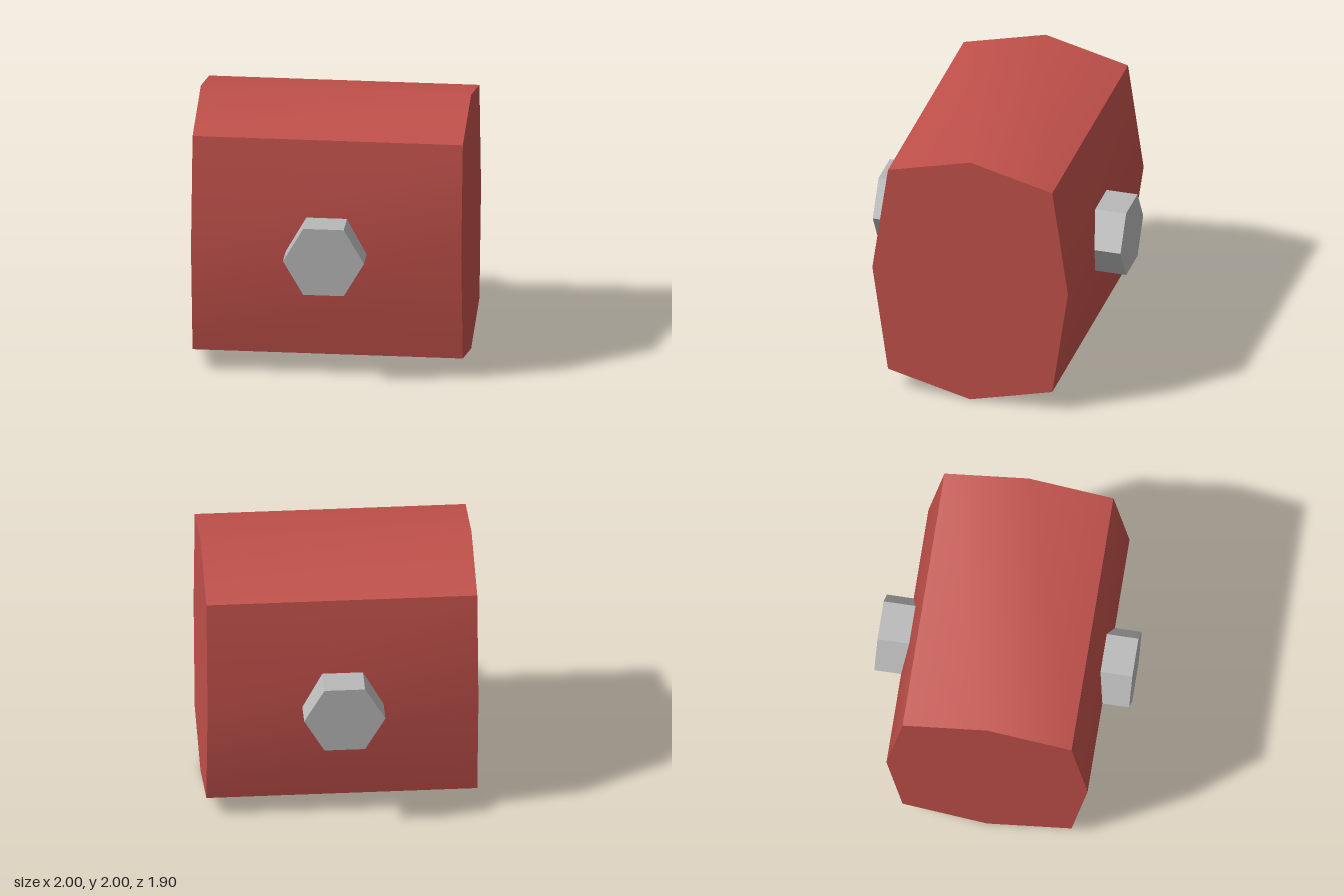
import * as THREE from 'three';
import { toCreasedNormals } from 'three/addons/utils/BufferGeometryUtils.js';

export function createModel() {
  const group = new THREE.Group();

  const red = new THREE.MeshStandardMaterial({ color: 0xc0504a });
  red.name = 'red';
  const grey = new THREE.MeshStandardMaterial({ color: 0xb8b8b8 });
  grey.name = 'grey';

  // Eight-sided body, extruded along x; shallow edges smooth, steep edges sharp
  const profile = [
    [0, 0], [0.63, 0.16], [0.75, 1], [0.63, 1.84],
    [0, 2], [-0.63, 1.84], [-0.75, 1], [-0.63, 0.16],
  ].map(([z, y]) => new THREE.Vector2(z, y));
  const bodyGeometry = new THREE.ExtrudeGeometry(new THREE.Shape(profile), {
    depth: 2, bevelEnabled: false,
  });
  bodyGeometry.translate(0, 0, -1).rotateY(Math.PI / 2);
  const body = new THREE.Mesh(toCreasedNormals(bodyGeometry, 0.7), red);
  body.name = 'body';
  group.add(body);

  // Hexagonal pin through the body, its corners pointing left and right
  const pinGeometry = new THREE.CylinderGeometry(0.3, 0.3, 1.9, 6)
    .rotateY(Math.PI / 6)
    .rotateX(Math.PI / 2);
  const pin = new THREE.Mesh(toCreasedNormals(pinGeometry, 0.3), grey);
  pin.name = 'hexPin';
  pin.position.y = 1;
  group.add(pin);

  return group;
}
